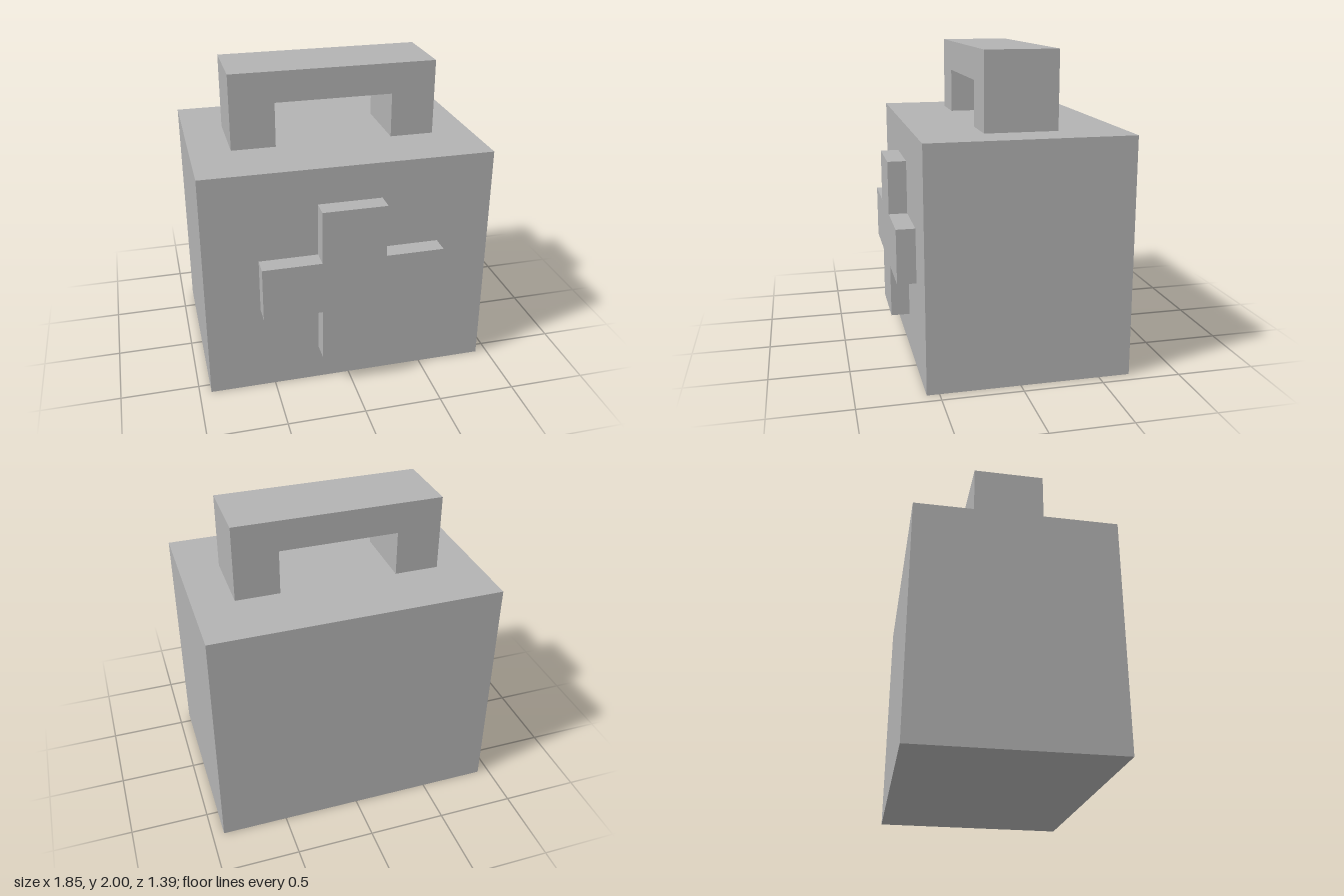
import * as THREE from 'three';

const grey = new THREE.MeshStandardMaterial({ color: 0xb3b3b3 });
grey.name = 'grey';

// Extrudes an outline in the xy plane from z0 to z1
function slab(name, points, z0, z1) {
  const shape = new THREE.Shape(points.map(([x, y]) => new THREE.Vector2(x, y)));
  const geometry = new THREE.ExtrudeGeometry(shape, { depth: z1 - z0, bevelEnabled: false });
  geometry.translate(0, 0, z0);
  const mesh = new THREE.Mesh(geometry, grey);
  mesh.name = name;
  return mesh;
}

// Completes a right-half outline with its mirror image
const mirrored = (half) => [...half, ...half.map(([x, y]) => [-x, y]).reverse()];

export function createModel() {
  const model = new THREE.Group();
  model.name = 'firstAidCase';

  // Case body
  const body = new THREE.Mesh(new THREE.BoxGeometry(1.85, 1.51, 1.275), grey);
  body.name = 'caseBody';
  body.position.set(0, 0.755, -0.06);

  // Square arch handle on the lid
  const handle = slab('handle', mirrored([
    [0.38, 1.8], [0.38, 1.51], [0.665, 1.51], [0.665, 2],
  ]), -0.29, 0.17);

  // Raised cross on the front
  const cross = slab('frontCross', mirrored([
    [0.205, 0.235], [0.205, 0.58], [0.58, 0.58],
    [0.58, 0.93], [0.205, 0.93], [0.205, 1.275],
  ]), 0.5775, 0.6975);

  model.add(body, handle, cross);
  return model;
}
